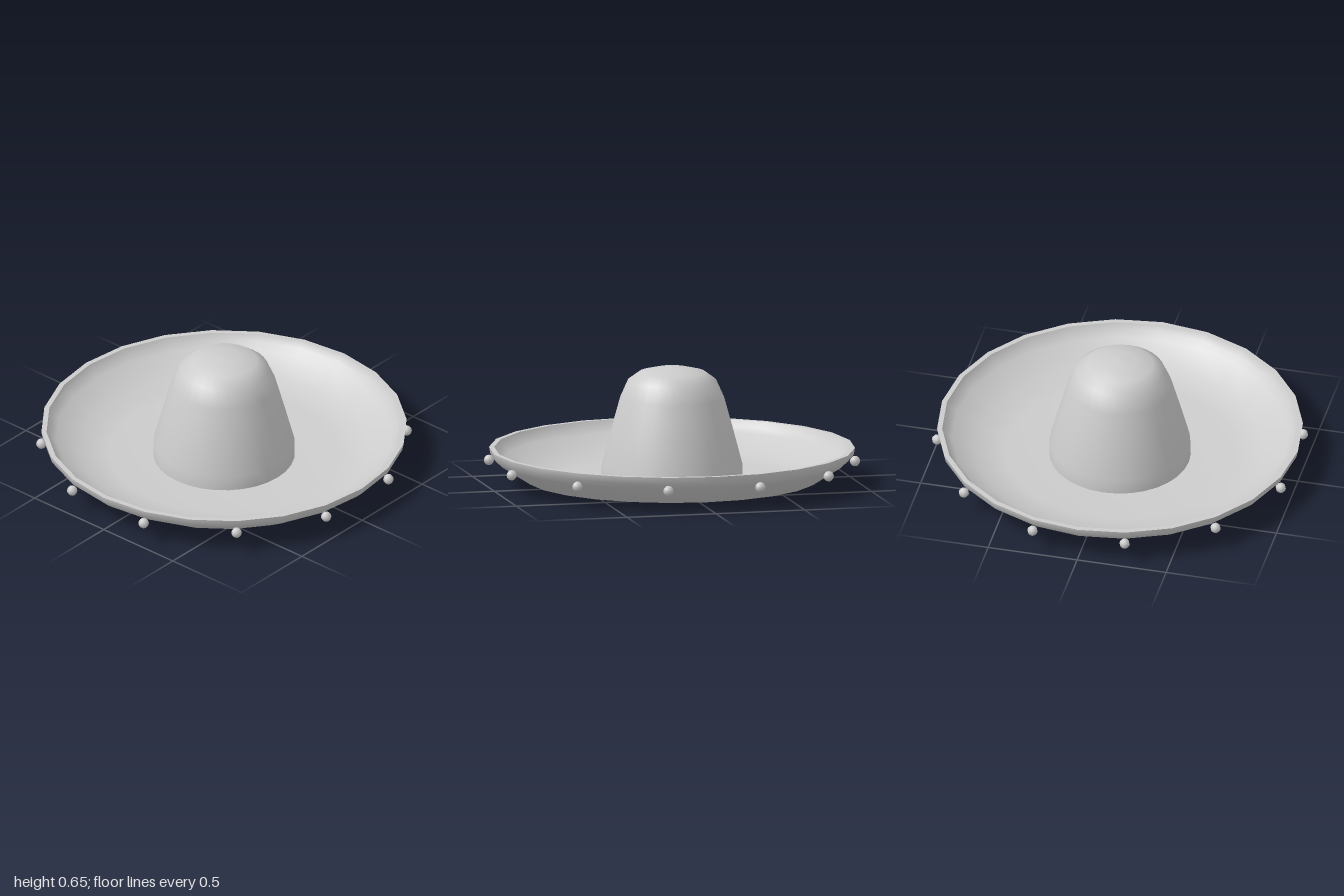
import * as THREE from 'three';

export function createModel() {
  const group = new THREE.Group();
  group.name = 'wideBrimHat';

  const lightGrey = new THREE.MeshStandardMaterial({ color: 0xcccccc });
  lightGrey.name = 'lightGrey';

  const add = (parent, name, geometry) => {
    const mesh = new THREE.Mesh(geometry, lightGrey);
    mesh.name = name;
    parent.add(mesh);
    return mesh;
  };
  const lathe = (points, sides) =>
    new THREE.LatheGeometry(points.map(([r, y]) => new THREE.Vector2(r, y)), sides);

  // Brim: separate lathes meet at sharp edges
  const brim = new THREE.Group();
  brim.name = 'brim';
  group.add(brim);
  const sides = 24;
  add(brim, 'brimHoleWall', lathe([[0.365, 0.025], [0.365, 0]], sides * 2));
  add(brim, 'brimUnderside', lathe([
    [0.365, 0], [0.63, 0.005], [0.8, 0.03], [0.955, 0.13], [0.993, 0.165], [1, 0.203],
  ], sides));
  add(brim, 'brimRim', lathe([[1, 0.203], [0.972, 0.203]], sides));
  add(brim, 'brimTop', lathe([
    [0.972, 0.203], [0.955, 0.17], [0.92, 0.14], [0.79, 0.057], [0.63, 0.032], [0.36, 0.025],
  ], sides));

  // Crown: straight band, tapering wall and rounded top
  const crown = new THREE.Group();
  crown.name = 'crown';
  group.add(crown);
  add(crown, 'crownShell', lathe([
    [0.387, 0.025], [0.385, 0.11], [0.335, 0.3], [0.285, 0.48],
    [0.242, 0.577], [0.18, 0.622], [0.088, 0.644], [0, 0.65],
  ], 32));
  const base = add(crown, 'crownBase', new THREE.CircleGeometry(0.38, 32));
  base.rotation.x = Math.PI / 2;
  base.position.y = 0.024;

  // Twelve beads hung around the brim
  const beadGeometry = new THREE.SphereGeometry(0.029, 8, 6);
  const beads = new THREE.Group();
  beads.name = 'beads';
  group.add(beads);
  for (let i = 0; i < 12; i++) {
    const angle = (i + 0.5) * Math.PI / 6;
    const bead = add(beads, 'bead', beadGeometry);
    bead.position.set(Math.cos(angle), 0.13, Math.sin(angle));
  }

  return group;
}
